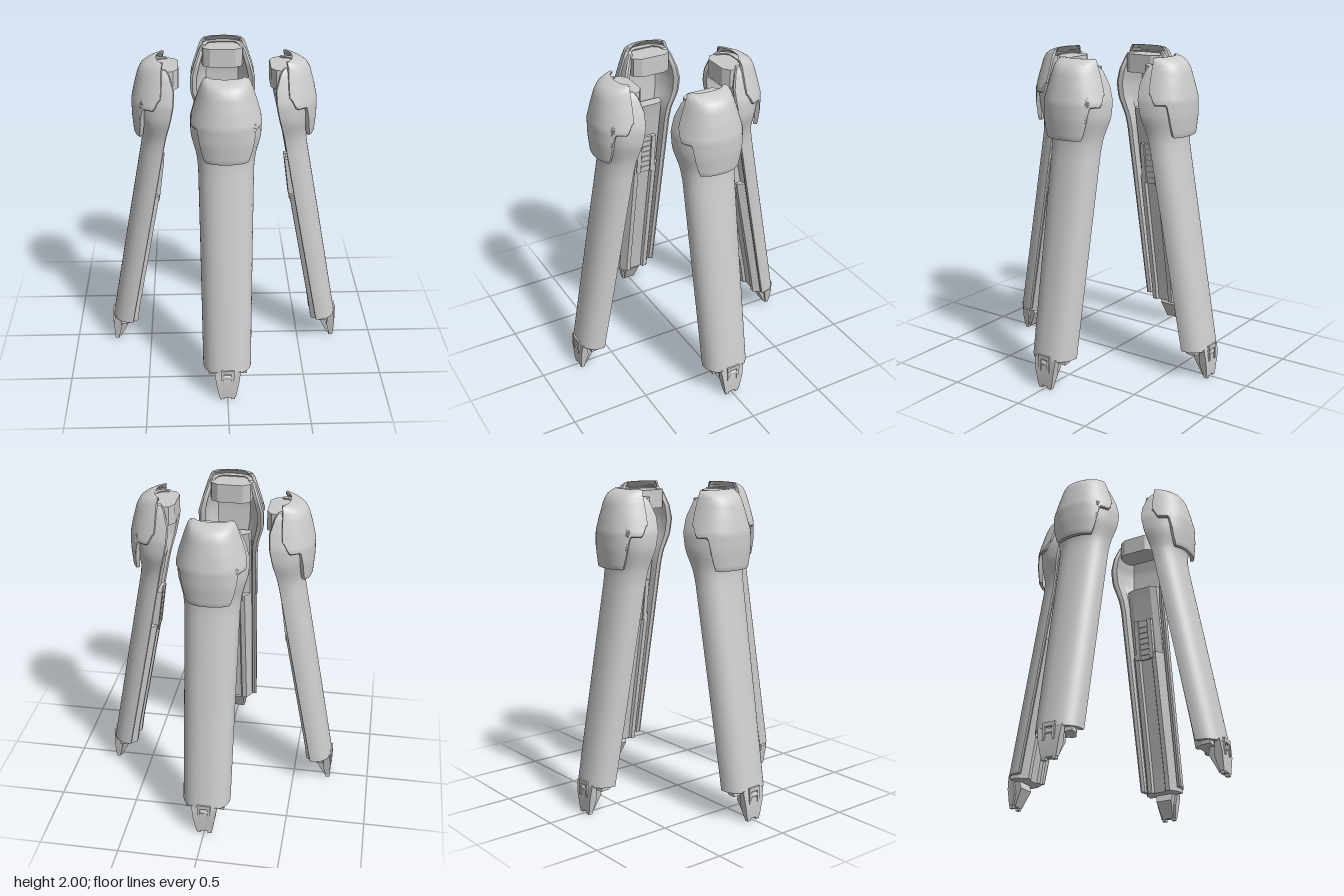
import * as THREE from 'three';
import { toCreasedNormals } from 'three/addons/utils/BufferGeometryUtils.js';

const material = new THREE.MeshStandardMaterial({ color: 0xcccccc });

// Rows are [height, inner z, outer z, half width]
const SHELL = [
  [0.19, 0.615, 0.75, 0.15], [1.0, 0.463, 0.603, 0.16], [1.45, 0.38, 0.52, 0.167], [1.53, 0.365, 0.51, 0.176],
  [1.65, 0.335, 0.535, 0.21], [1.75, 0.315, 0.55, 0.21], [1.84, 0.31, 0.53, 0.185], [1.93, 0.335, 0.5, 0.152],
  [1.96, 0.355, 0.46, 0.13],
];
const CAP = [
  [1.53, 0.36, 0.56, 0.195], [1.65, 0.335, 0.57, 0.221], [1.75, 0.32, 0.57, 0.221], [1.84, 0.315, 0.55, 0.195],
  [1.93, 0.32, 0.525, 0.165], [1.97, 0.33, 0.5, 0.15], [1.99, 0.34, 0.46, 0.14], [2.0, 0.35, 0.425, 0.13],
];

function sample(table, y) {
  let i = 1;
  while (i < table.length - 1 && table[i][0] < y) i++;
  const a = table[i - 1], b = table[i];
  const k = THREE.MathUtils.clamp((y - a[0]) / (b[0] - a[0]), 0, 1);
  return [1, 2, 3].map((n) => THREE.MathUtils.lerp(a[n], b[n], k));
}

const soft = (s) => Math.sign(s) * Math.abs(s) ** 0.87;
const arc = (t) => [soft(Math.sin(t)), soft(Math.max(0, Math.cos(t)))];
const polygon = (points) => new THREE.Shape(points.map((p) => new THREE.Vector2(p[0], p[1])));
const mirrored = (half) => [...half, ...half.slice().reverse().map(([x, z]) => [-x, z])];

function add(group, name, geometry, crease = 0.6) {
  const mesh = new THREE.Mesh(toCreasedNormals(geometry, crease), material);
  mesh.name = name;
  group.add(mesh);
  return mesh;
}

// Extrudes an (x, z) section from y1 down to y0, then moves each vertex by rule
function loft(points, y0, y1, steps, rule) {
  const geometry = new THREE.ExtrudeGeometry(polygon(points), { depth: 1, steps, bevelEnabled: false });
  const p = geometry.attributes.position;
  for (let i = 0; i < p.count; i++) {
    const y = y1 - p.getZ(i) * (y1 - y0);
    const [x, z] = rule(p.getX(i), p.getY(i), y);
    p.setXYZ(i, x, y, z);
  }
  return geometry;
}

// Extrudes a (z, y) side outline across x, with a half width that depends on y
function across(points, halfWidth) {
  const geometry = new THREE.ExtrudeGeometry(polygon(points), { depth: 2, bevelEnabled: false });
  geometry.translate(0, 0, -1).rotateY(-Math.PI / 2);
  const p = geometry.attributes.position;
  for (let i = 0; i < p.count; i++) p.setX(i, p.getX(i) * halfWidth(p.getY(i)));
  return geometry;
}

// Raised plate over the top: long in the middle, short at the sides
function capGeometry() {
  const cols = 72, tMax = 1.32;
  const rows = [[0, 0.88], [0, 0.98], [0.025, 1]];
  for (let j = 1; j <= 24; j++) rows.push([0.025 + 0.975 * (j / 24), 1]);
  rows.push([1, 0.82], [0.9, 0.8]);
  const positions = [], index = [];
  for (let i = 0; i <= cols; i++) {
    const t = THREE.MathUtils.clamp((i - 1) / (cols - 2), 0, 1) * 2 * tMax - tMax;
    const end = i === 0 || i === cols;
    const step = THREE.MathUtils.smoothstep(Math.abs(t), 0.66, 0.86);
    const rise = THREE.MathUtils.smoothstep(Math.abs(t), 1.14, tMax);
    const low = 1.53 + 0.195 * step + 0.07 * rise;
    for (const [f, k] of rows) {
      const y = low + (2 - low) * f;
      const [zin, zout, w] = sample(CAP, y);
      const [u, v] = arc(t);
      const scale = end ? Math.min(k, 0.86) : k;
      positions.push(u * w * scale, y, zin + v * (zout - zin) * scale);
    }
  }
  const n = rows.length;
  for (let i = 0; i < cols; i++) {
    for (let j = 0; j < n - 1; j++) {
      const a = i * n + j, b = a + n;
      index.push(a, b, b + 1, a, b + 1, a + 1);
    }
  }
  const geometry = new THREE.BufferGeometry();
  geometry.setAttribute('position', new THREE.Float32BufferAttribute(positions, 3));
  geometry.setIndex(index);
  return geometry;
}

function createLeg() {
  const leg = new THREE.Group();

  // Curved outer shell, hollow on the inner side
  const section = [];
  for (let i = 0; i <= 32; i++) section.push(arc((i / 32 - 0.5) * Math.PI));
  section.push([0.93, -0.03], [0.8, 0.02], [0.72, 0.4], [0.5, 0.62], [-0.5, 0.62], [-0.72, 0.4], [-0.8, 0.02], [-0.93, -0.03]);
  add(leg, 'legShell', loft(section, 0.19, 1.96, 60, (u, v, y) => {
    const [zin, zout, w] = sample(SHELL, y);
    return [u * w, zin + v * (zout - zin)];
  }));

  // Plate over the top of the leg
  const cap = add(leg, 'shoulderCap', capGeometry());
  cap.material = material.clone();
  cap.material.side = THREE.DoubleSide;

  // Faceted core that fills the hollow, z measured from the shell's inner edge
  const follow = (x, z, y) => [x, z + sample(SHELL, y)[0]];
  const core = mirrored([[0.122, 0.085], [0.118, 0.03], [0.08, -0.03], [0.05, -0.03], [0.04, -0.012]]);
  add(leg, 'innerCore', loft(core, 0.165, 1.1, 8, follow), 0.2);
  const upperCore = mirrored([[0.122, 0.085], [0.11, 0.03], [0.07, 0.01]]);
  add(leg, 'upperCore', loft(upperCore, 1.1, 1.58, 8, follow), 0.2);

  // Inner panel with two rails
  const slope = (x, z, y) => [x, z + 0.415 - (y - 1.06) * 0.13];
  add(leg, 'innerPanel', loft(mirrored([[0.06, 0.06], [0.06, 0.012]]), 1.06, 1.34, 1, slope), 0.2);
  for (const side of [-1, 1]) {
    const rail = [[0.035, 0.03], [0.065, 0.03], [0.065, 0], [0.035, 0]].map(([x, z]) => [x * side, z]);
    add(leg, 'panelRail', loft(rail, 1.06, 1.34, 1, slope), 0.2);
  }
  for (let i = 0; i < 6; i++) {
    const rib = mirrored([[0.03, 0.03], [0.03, 0.006]]);
    add(leg, 'panelRib', loft(rib, 1.09 + i * 0.04, 1.105 + i * 0.04, 1, slope), 0.2);
  }

  // Mounting block in the open top
  const block = mirrored([[0.12, 0.44], [0.135, 0.36], [0.125, 0.31], [0.08, 0.28]]);
  add(leg, 'mountBlock', loft(block, 1.83, 1.95, 1, (x, z) => [x, z]), 0.2);

  // Foot: outer claw, inner claw and hinge
  const taper = (top, bottom) => (y) => THREE.MathUtils.lerp(bottom, top, THREE.MathUtils.clamp(y / 0.18, 0, 1));
  add(leg, 'outerClaw', across([[0.71, 0.2], [0.74, 0.2], [0.75, 0.12], [0.747, 0.015], [0.72, 0.015], [0.698, 0.1]], taper(0.082, 0.048)), 0.2);
  add(leg, 'innerClaw', across([[0.68, 0.2], [0.712, 0.2], [0.702, 0.1], [0.722, 0.02], [0.71, 0.01], [0.655, 0.12]], taper(0.065, 0.035)), 0.2);
  for (const side of [-1, 1]) {
    const toe = new THREE.BoxGeometry(0.025, 0.03, 0.026);
    toe.translate(side * 0.034, 0.015, 0.733);
    add(leg, 'toe', toe);
    const knuckle = new THREE.BoxGeometry(0.016, 0.1, 0.04);
    knuckle.translate(side * 0.032, 0.165, 0.735);
    add(leg, 'hingeCheek', knuckle);
  }
  const hinge = new THREE.BoxGeometry(0.085, 0.025, 0.05);
  hinge.translate(0, 0.205, 0.73);
  add(leg, 'hingeTop', hinge);
  const pin = new THREE.CylinderGeometry(0.018, 0.018, 0.05, 12);
  pin.rotateZ(Math.PI / 2).translate(0, 0.165, 0.735);
  add(leg, 'hingePin', pin);
  return leg;
}

export function createModel() {
  const model = new THREE.Group();
  model.name = 'fourLegs';
  ['frontLeg', 'leftLeg', 'backLeg', 'rightLeg'].forEach((name, i) => {
    const leg = createLeg();
    leg.name = name;
    leg.rotation.y = (i * Math.PI) / 2;
    model.add(leg);
  });
  return model;
}
